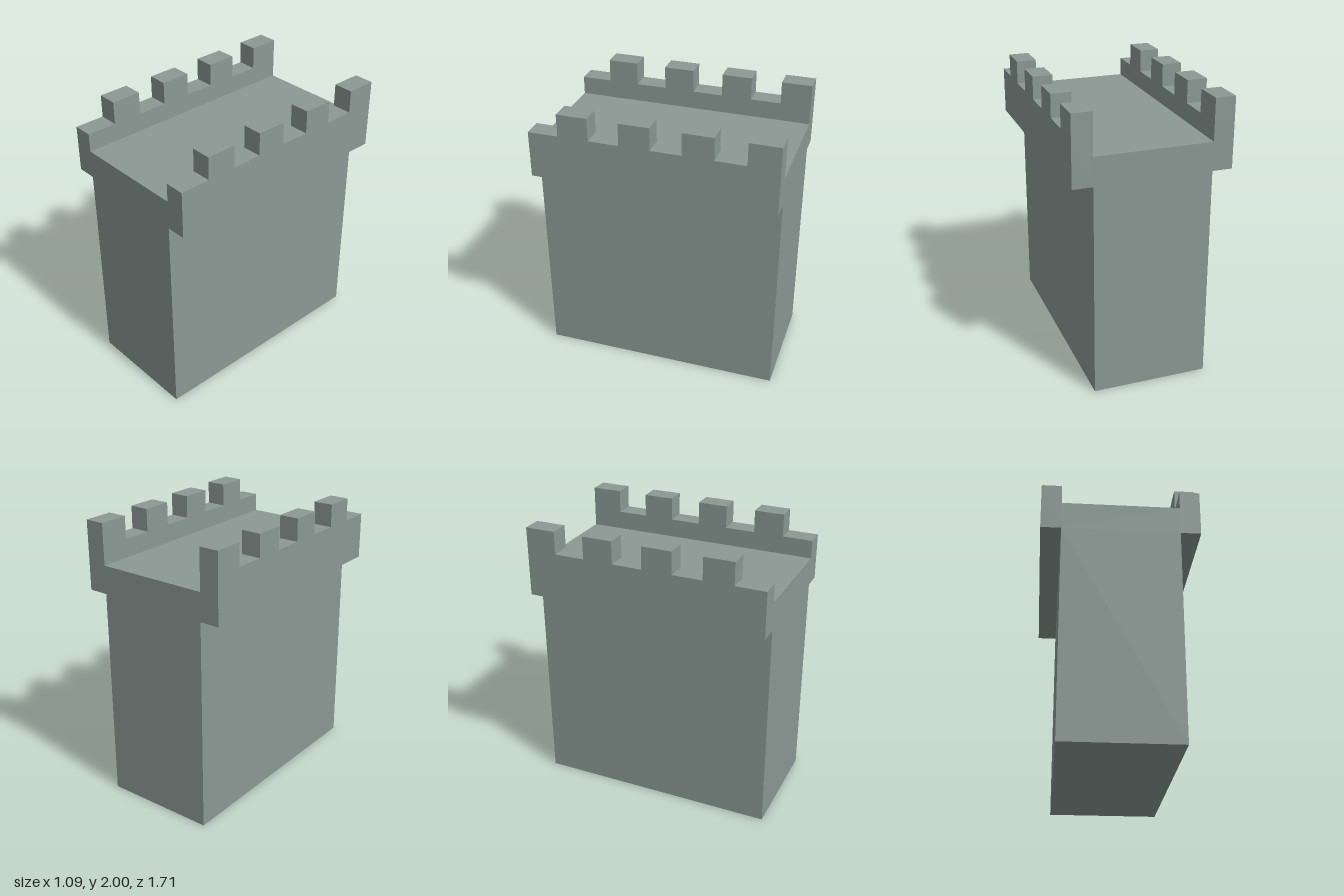
import * as THREE from 'three';

const DEPTH = 1.71;        // full length along z
const INNER = 0.405;       // half width of the wall body
const OUTER = 0.545;       // half width across the parapets
const LEDGE = 1.51;        // underside of the overhang
const WALK = 1.71;         // walkway floor
const CRENEL = 1.84;       // bottom of the gaps between merlons
const TOP = 2;

export function createModel() {
  const group = new THREE.Group();
  group.name = 'castleWall';
  const stone = new THREE.MeshStandardMaterial({ color: 0x8a9994 });
  stone.name = 'greyGreenStone';

  // Wall body with overhanging parapets, one cross-section swept along z
  const half = [[INNER, 0], [INNER, LEDGE], [OUTER, LEDGE], [OUTER, CRENEL], [INNER, CRENEL], [INNER, WALK]];
  const mirrored = half.map(([x, y]) => [-x, y]).reverse();
  const section = new THREE.Shape([...half, ...mirrored].map(([x, y]) => new THREE.Vector2(x, y)));
  const wallGeometry = new THREE.ExtrudeGeometry(section, { depth: DEPTH, bevelEnabled: false });
  wallGeometry.translate(0, 0, -DEPTH / 2);
  const wall = new THREE.Mesh(wallGeometry, stone);
  wall.name = 'wallAndParapets';
  group.add(wall);

  // Merlons: four per side, alternating with gaps, starting flush at the back
  const step = DEPTH / 8;
  const merlonGeometry = new THREE.BoxGeometry(OUTER - INNER, TOP - CRENEL, step);
  for (const side of [1, -1]) {
    const row = new THREE.Group();
    row.name = side > 0 ? 'leftMerlons' : 'rightMerlons';
    for (let i = 0; i < 4; i++) {
      const merlon = new THREE.Mesh(merlonGeometry, stone);
      merlon.name = 'merlon';
      merlon.position.set(side * (INNER + OUTER) / 2, (TOP + CRENEL) / 2, -DEPTH / 2 + step * (2 * i + 0.5));
      row.add(merlon);
    }
    group.add(row);
  }
  return group;
}
